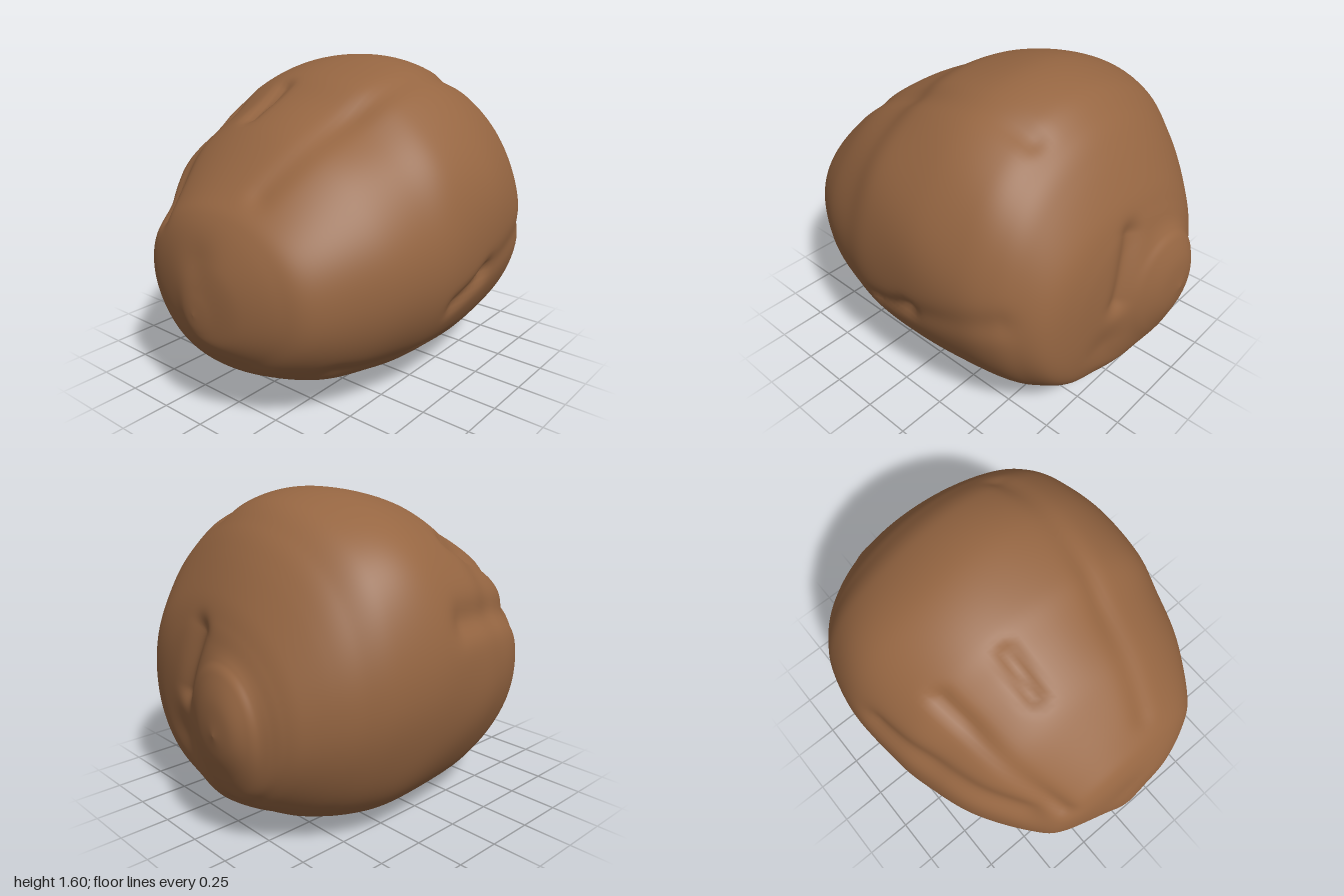
import * as THREE from 'three';

// Cross-sections along the nut: x, bottom, top, back, front
const STATIONS = [
  [-1, 0.57, 0.57, 0, 0], [-0.992, 0.49, 0.67, -0.06, 0.1], [-0.97, 0.42, 0.82, -0.14, 0.27],
  [-0.9, 0.32, 0.99, -0.38, 0.44], [-0.8, 0.23, 1.1, -0.5, 0.57], [-0.55, 0.105, 1.305, -0.68, 0.72],
  [-0.3, 0.045, 1.44, -0.77, 0.8], [-0.1, 0.02, 1.55, -0.82, 0.845], [0.2, 0.007, 1.61, -0.845, 0.85],
  [0.45, 0.01, 1.565, -0.8, 0.81], [0.6, 0.035, 1.46, -0.73, 0.76], [0.7, 0.08, 1.34, -0.665, 0.7],
  [0.8, 0.145, 1.17, -0.575, 0.61], [0.85, 0.2, 1.05, -0.51, 0.47], [0.88, 0.245, 0.96, -0.46, 0.26],
  [0.905, 0.29, 0.91, -0.42, 0.13], [0.94, 0.37, 0.86, -0.38, 0.05], [0.98, 0.48, 0.75, -0.31, -0.06],
  [1, 0.6, 0.6, -0.2, -0.2],
];

// Shell relief: depth (negative swells), width, path over the surface
const RELIEF = [
  // front creases
  [0.028, 0.05, [[-0.1, 0.54, 0.8], [0.15, 0.63, 0.83]]],
  [0.014, 0.07, [[0.15, 0.63, 0.83], [0.65, 0.77, 0.74]]],
  [0.025, 0.07, [[-0.6, 0.29, 0.48], [0, 0.26, 0.62]]],
  // top creases
  [0.03, 0.045, [[-0.42, 1.36, -0.19], [-0.2, 1.47, -0.17]]],
  [0.018, 0.06, [[-0.75, 1.1, 0.2], [-0.15, 1.47, 0.36], [0.5, 1.47, 0.36]]],
  [0.03, 0.05, [[-0.85, 0.92, -0.35], [-0.15, 1.36, -0.52]]],
  // back groove and the shoulder above it
  [0.035, 0.08, [[0.03, 1.06, -0.79], [-0.4, 1.02, -0.7], [-0.75, 0.9, -0.5]]],
  [-0.025, 0.25, [[0.3, 1.3, -0.6]]],
  // underside bulges and groove
  [-0.045, 0.28, [[-0.3, 0.13, -0.47], [0.25, 0.15, -0.55]]],
  [0.025, 0.09, [[0.8, 0.2, -0.14], [0.4, 0.03, -0.25], [-0.1, 0.02, -0.3]]],
  [-0.02, 0.15, [[-0.1, 0.04, 0.33], [0.4, 0.04, 0.33]]],
  // cleft between the lobes at the blunt end, and the pointed end's dimple
  [0.035, 0.06, [[0.87, 1.0, 0.08], [0.88, 0.68, 0.18]]],
  [0.02, 0.12, [[0.84, 0.42, 0.24], [0.7, 0.16, 0.2]]],
  [0.012, 0.1, [[-0.94, 0.8, 0]]],
];

const SAMPLES = 180;
const SIDES = 160;

function createShellGeometry() {
  const spline = (pick) => new THREE.CatmullRomCurve3(
    STATIONS.map((s) => new THREE.Vector3(...pick(s))), false, 'catmullrom', 0.5);
  const heights = spline((s) => [s[0], s[1], s[2]]);
  const depths = spline((s) => [s[3], s[4], 0]);
  const relief = RELIEF.map(([depth, width, path]) => {
    const points = path.map((p) => new THREE.Vector3(...p));
    const starts = points.length > 1 ? points.slice(0, -1) : points;
    return {
      depth, width,
      lines: starts.map((p, i) => new THREE.Line3(p, points[i + 1] ?? p.clone().addScalar(0.001))),
    };
  });
  const centre = new THREE.Vector3(0.1, 0.75, 0);
  const nearest = new THREE.Vector3();
  const positions = [];
  const indices = [];

  // Loft rounded sections, then press the relief toward the centre
  for (let i = 0; i <= SAMPLES; i++) {
    const h = heights.getPoint(i / SAMPLES);
    const d = depths.getPoint(i / SAMPLES);
    for (let j = 0; j < SIDES; j++) {
      const a = (j / SIDES) * Math.PI * 2;
      const round = (v) => Math.sign(v) * Math.pow(Math.abs(v), 0.97);
      const p = new THREE.Vector3(
        h.x,
        (h.y + h.z) / 2 + ((h.z - h.y) / 2) * round(Math.cos(a)),
        (d.x + d.y) / 2 + ((d.y - d.x) / 2) * round(Math.sin(a)));
      let press = 0.004 * Math.sin(p.x * 7 + p.y * 5) * Math.sin(p.z * 8 - p.y * 4 + 1);
      for (const { depth, width, lines } of relief) {
        const distance = Math.min(...lines.map((line) =>
          line.closestPointToPoint(p, true, nearest).distanceTo(p)));
        press += depth * Math.exp(-((distance / width) ** 2));
      }
      const inward = centre.clone().sub(p).normalize();
      p.addScaledVector(inward, press);
      positions.push(p.x, p.y, p.z);
    }
  }

  // Join the rings; the first and last ring close to a point
  for (let i = 0; i < SAMPLES; i++) {
    for (let j = 0; j < SIDES; j++) {
      const k = (j + 1) % SIDES;
      const a = i * SIDES + j, b = i * SIDES + k;
      const c = a + SIDES, e = b + SIDES;
      if (i > 0) indices.push(a, b, c);
      else indices.push(a, e, c);
      if (i > 0 && i < SAMPLES - 1) indices.push(b, e, c);
    }
  }
  const geometry = new THREE.BufferGeometry();
  geometry.setAttribute('position', new THREE.Float32BufferAttribute(positions, 3));
  geometry.setIndex(indices);

  // Rest it on the ground
  geometry.computeBoundingBox();
  geometry.translate(0, -geometry.boundingBox.min.y, 0);
  geometry.computeVertexNormals();
  return geometry;
}

export function createModel() {
  const group = new THREE.Group();
  group.name = 'nut';
  const brown = new THREE.MeshStandardMaterial({ color: 0x966642 });
  brown.name = 'shell brown';
  const shell = new THREE.Mesh(createShellGeometry(), brown);
  shell.name = 'shell';
  group.add(shell);
  return group;
}
